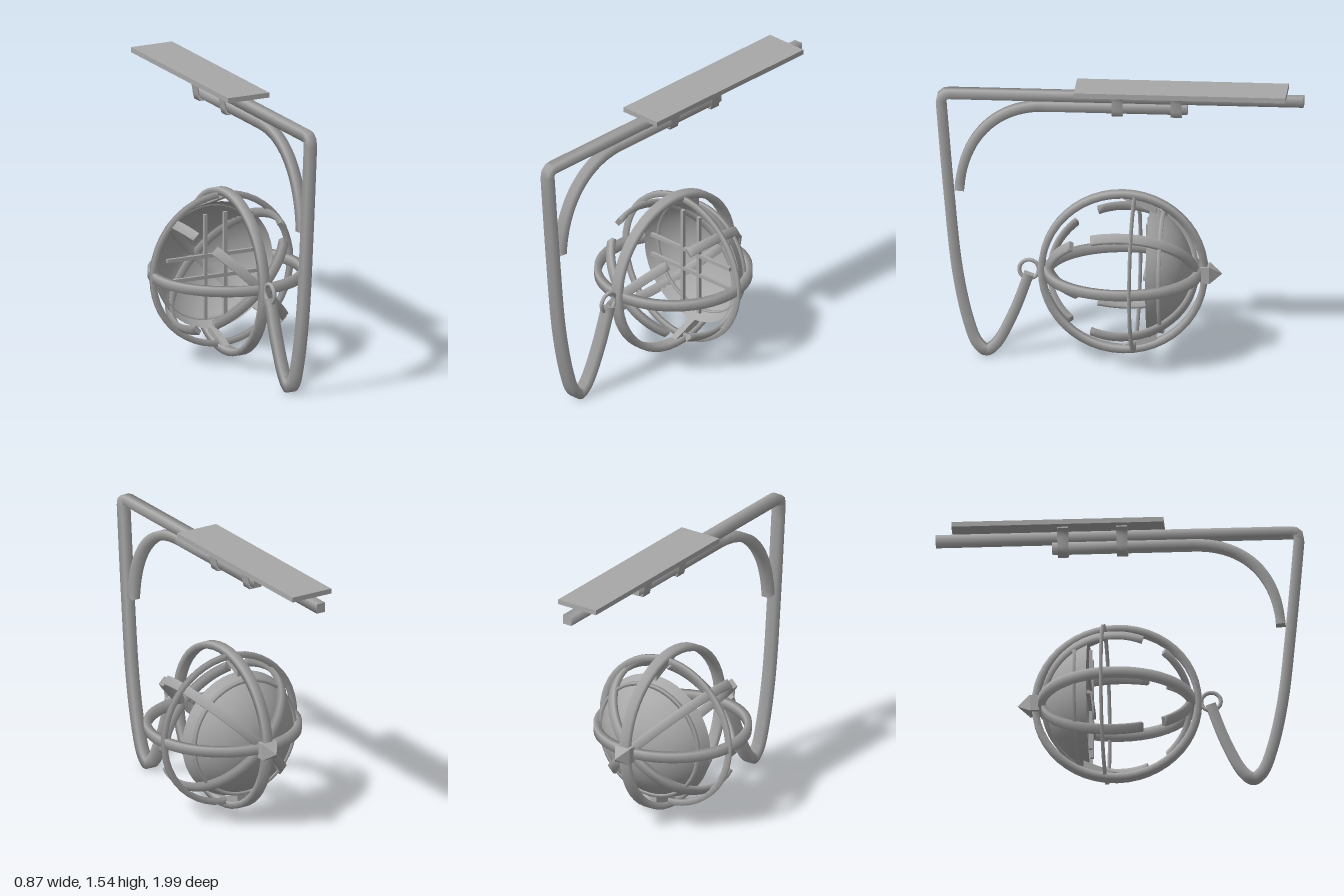
import * as THREE from 'three';

const steel = new THREE.MeshStandardMaterial({ color: 0xa8a8a8, side: THREE.DoubleSide });
steel.name = 'grey steel';

// Square bar swept along a path of [z, y] points; w is its width in x, t its thickness in the plane
function sweep(path, w, t, closed = false) {
  const pos = [], idx = [], n = path.length;
  const at = (i) => path[closed ? (i + n) % n : Math.min(Math.max(i, 0), n - 1)];
  const corners = [[1, 1], [-1, 1], [-1, -1], [1, -1]];
  const section = (i) => {
    const a = at(i - 1), b = at(i + 1), [z, y] = at(i);
    const len = Math.hypot(b[0] - a[0], b[1] - a[1]);
    const tz = (b[0] - a[0]) / len, ty = (b[1] - a[1]) / len;
    for (const [cn, cx] of corners) pos.push(cx * w / 2, y - tz * cn * t / 2, z + ty * cn * t / 2);
  };
  for (let i = 0; i < n; i++) section(i);
  for (let i = 0; i < (closed ? n : n - 1); i++) {
    const a = i * 4, b = ((i + 1) % n) * 4;
    for (let j = 0; j < 4; j++) {
      const k = (j + 1) % 4;
      // corners run clockwise about the path direction
      idx.push(a + j, b + j, a + k, a + k, b + j, b + k);
    }
  }
  if (!closed) {
    section(0);
    section(n - 1);
    const s = n * 4, e = s + 4;
    idx.push(s, s + 1, s + 2, s, s + 2, s + 3, e, e + 2, e + 1, e, e + 3, e + 2);
  }
  const g = new THREE.BufferGeometry();
  g.setAttribute('position', new THREE.Float32BufferAttribute(pos, 3));
  g.setIndex(idx);
  g.computeVertexNormals();
  return g;
}

// Arc in the z-y plane, angle in degrees from +z towards +y
function arc(r, from, to, steps, z0 = 0, y0 = 0) {
  const pts = [];
  for (let i = 0; i <= steps; i++) {
    const a = THREE.MathUtils.degToRad(from + (to - from) * i / steps);
    pts.push([z0 + r * Math.cos(a), y0 + r * Math.sin(a)]);
  }
  return pts;
}
const circle = (r) => arc(r, 0, 360, 48).slice(0, -1);

function add(parent, name, geometry, x = 0, y = 0, z = 0) {
  const m = new THREE.Mesh(geometry, steel);
  m.name = name;
  m.position.set(x, y, z);
  parent.add(m);
  return m;
}

export function createModel() {
  const model = new THREE.Group();
  model.name = 'hangingCageStand';

  // Main bar: straight arm, then the long drop ending in a hook
  const drop = new THREE.CatmullRomCurve3([
    [0.967, 1.45], [0.925, 0.94], [0.877, 0.48], [0.818, 0.2], [0.77, 0.075],
    [0.72, 0.035], [0.665, 0.075], [0.571, 0.255], [0.49, 0.475],
  ].map(([z, y]) => new THREE.Vector3(0, y, z)));
  const bar = [[-1, 1.495], [0, 1.495], [0.92, 1.495], [0.945, 1.492], [0.962, 1.478]];
  for (const p of drop.getPoints(48)) bar.push([p.z, p.y]);
  add(model, 'armAndHook', sweep(bar, 0.054, 0.054));

  // Curved brace under the arm
  const bend = new THREE.CubicBezierCurve(
    new THREE.Vector2(0.868, 0.945), new THREE.Vector2(0.85, 1.24),
    new THREE.Vector2(0.68, 1.435), new THREE.Vector2(0.4, 1.435));
  const brace = bend.getPoints(20).map((p) => [p.x, p.y]);
  brace.push([0, 1.435], [-0.37, 1.435]);
  add(model, 'brace', sweep(brace, 0.05, 0.052));

  // Flat top panel and the two flared clips that hold it
  add(model, 'topPanel', new THREE.BoxGeometry(0.25, 0.028, 1.148), 0, 1.538, -0.335);
  const half = [[0.09, 1.52], [0.066, 1.517], [0.052, 1.505], [0.045, 1.48], [0.037, 1.43], [0.031, 1.4]];
  const clip = sweep([...half, ...half.map(([x, y]) => [-x, y]).reverse()], 0.06, 0.01);
  for (const z of [0.01, -0.31]) add(model, 'panelClip', clip, 0, 0, z).rotation.y = Math.PI / 2;

  // Cage, built about its own centre
  const cage = new THREE.Group();
  cage.name = 'cage';
  cage.position.set(0, 0.5, -0.02);
  model.add(cage);
  add(cage, 'verticalRing', sweep(circle(0.442), 0.052, 0.037, true));
  add(cage, 'horizontalRing', sweep(circle(0.41), 0.052, 0.037, true)).rotation.z = Math.PI / 2;
  add(cage, 'crossRing', sweep(circle(0.417), 0.018, 0.033, true), 0, 0, -0.063).rotation.y = Math.PI / 2;

  // Broken diagonal ribs: a short front piece and a long rear piece each
  const frontRib = sweep(arc(0.396, 0, 48, 12), 0.05, 0.028);
  const rearRib = sweep(arc(0.396, 67, 180, 24), 0.05, 0.028);
  for (let i = 0; i < 4; i++) {
    const angle = Math.PI / 4 + i * Math.PI / 2;
    add(cage, 'frontRib', frontRib).rotation.z = angle;
    add(cage, 'rearRib', rearRib).rotation.z = angle;
  }

  // Open bowl with a band round its outside
  const bowl = [];
  for (let i = 0; i <= 16; i++) {
    const a = i / 16 * 1.18;
    bowl.push(new THREE.Vector2(0.383 * Math.sin(a), -0.383 * Math.cos(a)));
  }
  add(cage, 'bowl', new THREE.LatheGeometry(bowl, 48)).rotation.x = Math.PI / 2;
  add(cage, 'bowlBand', sweep(circle(0.322), 0.02, 0.018, true), 0, 0, -0.215).rotation.y = Math.PI / 2;

  // Crossed bars over the bowl's mouth
  for (const s of [-1, 1]) {
    add(cage, 'uprightBar', new THREE.BoxGeometry(0.02, 0.585, 0.018), s * 0.06, 0, -0.138);
    add(cage, 'levelBar', new THREE.BoxGeometry(0.585, 0.02, 0.018), 0, s * 0.059, -0.138);
  }

  // Wedges tying the bowl to the vertical ring
  const wedge = new THREE.Shape([[0, 0.418], [0.18, 0.34], [0.18, 0.385], [0.1, 0.42]]
    .map(([z, y]) => new THREE.Vector2(z, y)));
  const wedgeGeo = new THREE.ExtrudeGeometry(wedge, { depth: 0.04, bevelEnabled: false });
  wedgeGeo.translate(0, 0, -0.02).rotateY(Math.PI / 2);
  for (const turn of [0, Math.PI]) add(cage, 'wedge', wedgeGeo).rotation.z = turn;

  // Rear spike: square block with a pyramid tip
  add(cage, 'spikeBase', new THREE.BoxGeometry(0.09, 0.09, 0.05), 0, 0, -0.445);
  const tip = new THREE.ConeGeometry(0.068, 0.07, 4, 1).toNonIndexed();
  tip.computeVertexNormals();
  tip.rotateY(Math.PI / 4).rotateX(-Math.PI / 2);
  add(cage, 'spikeTip', tip, 0, 0, -0.503);

  // Small ring that hangs the cage from the hook
  add(model, 'hangingRing', new THREE.TorusGeometry(0.053, 0.011, 10, 32), 0, 0.5, 0.49).rotation.y = Math.PI / 2;
  return model;
}
